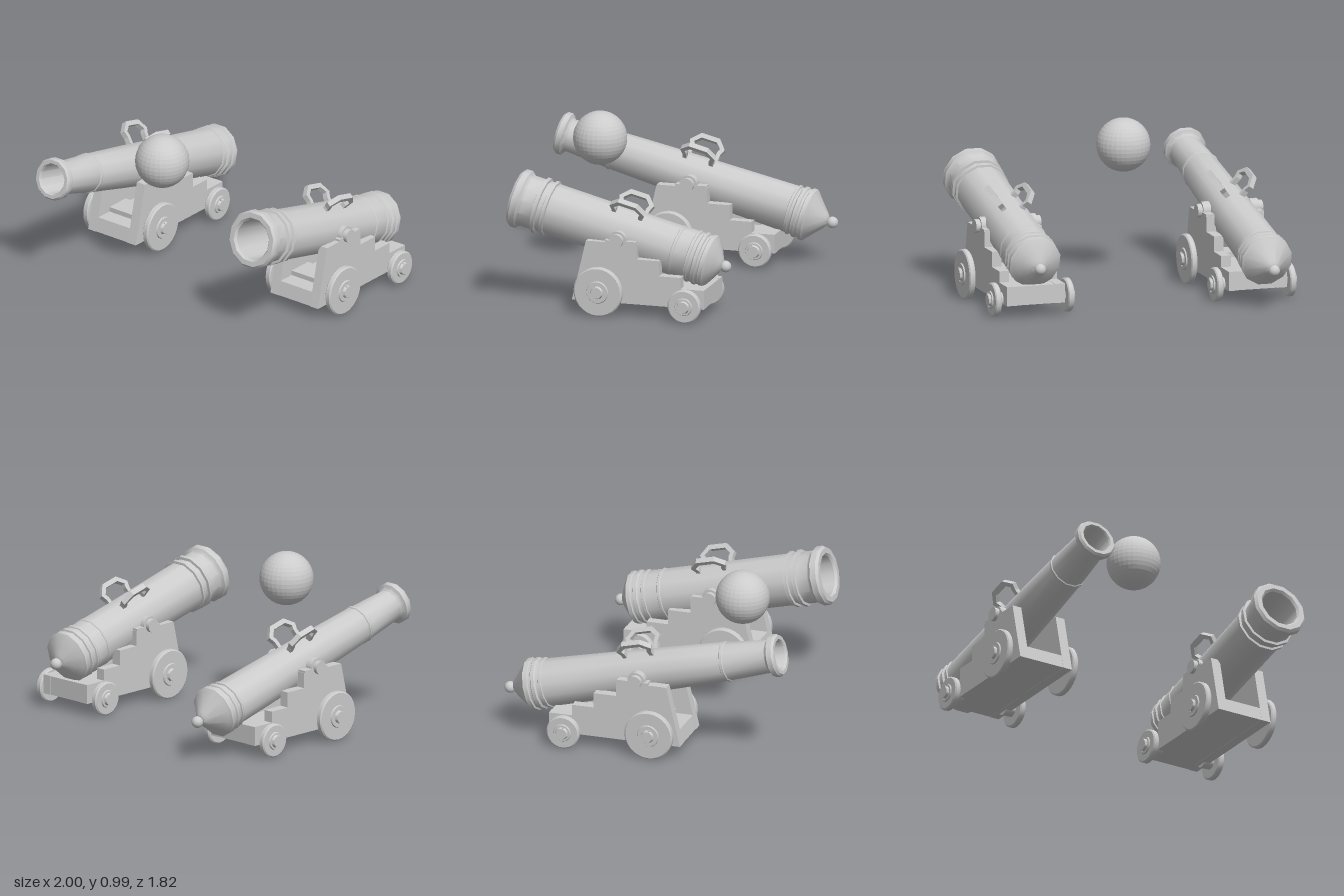
import * as THREE from 'three';
import { toCreasedNormals } from 'three/addons/utils/BufferGeometryUtils.js';

const material = new THREE.MeshStandardMaterial({ color: 0xcccccc });
const flatMaterial = new THREE.MeshStandardMaterial({ color: 0xcccccc, flatShading: true });
const AXIS_Y = 0.475;
const TILT = THREE.MathUtils.degToRad(14);

function add(parent, name, geometry, x = 0, y = 0, z = 0, mat = material) {
  const mesh = new THREE.Mesh(geometry, mat);
  mesh.name = name;
  mesh.position.set(x, y, z);
  parent.add(mesh);
  return mesh;
}

// Turned part from [radius, height] pairs, with hard profile edges
function turned(profile, sides, phase = 0) {
  const points = profile.map(([r, h]) => new THREE.Vector2(r, h));
  return toCreasedNormals(new THREE.LatheGeometry(points, sides, phase), 0.6);
}

function polygon(points) {
  return new THREE.Shape(points.map(([x, y]) => new THREE.Vector2(x, y)));
}

// Side outline given as [z, y], given a thickness along x and centred there
function sidePanel(points, thickness) {
  const g = new THREE.ExtrudeGeometry(polygon(points.map(([z, y]) => [-z, y])), { depth: thickness, bevelEnabled: false });
  return g.translate(0, 0, -thickness / 2).rotateY(Math.PI / 2);
}

// Raised band around the barrel
const band = (s, width, r, inner) => [[inner, s - width / 2], [r, s - width / 2 + 0.004], [r, s + width / 2 - 0.004], [inner, s + width / 2]];

const longProfile = [
  [0, -0.872], [0.03, -0.87], [0.05, -0.855], [0.148, -0.765], [0.165, -0.752],
  [0.165, -0.725], [0.155, -0.72], [0.155, -0.705], [0.162, -0.70], [0.162, -0.68], [0.15, -0.672],
  ...band(-0.645, 0.022, 0.157, 0.149),
  [0.14, -0.2], [0.131, 0.2], [0.121, 0.53],
  ...band(0.55, 0.024, 0.125, 0.119),
  [0.102, 0.835], [0.112, 0.85], [0.133, 0.86], [0.133, 0.893], [0.122, 0.907],
  [0.1, 0.907], [0.092, 0.895], [0.088, 0.3], [0, 0.3],
];

const shortProfile = [
  [0, -0.642], [0.03, -0.641], [0.05, -0.63], [0.1, -0.604], [0.15, -0.572], [0.166, -0.56],
  [0.166, -0.535], [0.158, -0.53], [0.158, -0.515], [0.168, -0.51], [0.168, -0.49], [0.159, -0.483],
  ...band(-0.45, 0.024, 0.165, 0.158),
  ...band(-0.345, 0.022, 0.162, 0.157),
  [0.157, 0], [0.16, 0.485],
  ...band(0.503, 0.028, 0.174, 0.16),
  ...band(0.56, 0.03, 0.177, 0.161),
  [0.161, 0.65], [0.17, 0.665], [0.184, 0.675], [0.184, 0.713], [0.17, 0.73],
  [0.138, 0.73], [0.125, 0.715], [0.12, 0.15], [0, 0.15],
];

function makeBarrel(profile, knobAt) {
  const barrel = new THREE.Group();
  barrel.name = 'barrel';
  add(barrel, 'tube', turned(profile, 12, Math.PI / 12).rotateX(Math.PI / 2));
  add(barrel, 'rearKnob', new THREE.SphereGeometry(0.036, 20, 14), 0, 0, knobAt);

  // Pair of lifting handles leaning outwards
  const arch = [
    [-0.1, -0.02], [-0.075, -0.02], [-0.075, 0.035], [-0.085, 0.06], [-0.05, 0.095],
    [0.05, 0.095], [0.085, 0.06], [0.075, 0.035], [0.075, -0.02], [0.1, -0.02],
    [0.1, 0.025], [0.115, 0.065], [0.06, 0.125], [-0.06, 0.125], [-0.115, 0.065], [-0.1, 0.025],
  ];
  for (const side of [-1, 1]) {
    const handle = add(barrel, 'liftingHandle', sidePanel(arch, 0.034), side * 0.055, 0.135, 0.005);
    handle.rotation.z = -side * 0.66;
  }
  barrel.position.y = AXIS_Y;
  barrel.rotation.x = -TILT;
  return barrel;
}

// Wheel with hub and axle stub, built along +x
function makeWheel(r, hub) {
  return turned([
    [0, 0.15], [0.045, 0.15], [0.042, 0.216], [r - 0.008, 0.216], [r, 0.223], [r, 0.249],
    [r - 0.008, 0.256], [hub, 0.256], [hub - 0.004, 0.264], [0.04, 0.264], [0.034, 0.28], [0, 0.28],
  ], 28).rotateZ(-Math.PI / 2);
}

function makeCarriage() {
  const carriage = new THREE.Group();
  carriage.name = 'carriage';

  // Stepped cheeks
  const cheek = [
    [0.29, 0.08], [0.2, 0.46], [-0.125, 0.46], [-0.125, 0.365], [-0.27, 0.365], [-0.27, 0.27],
    [-0.41, 0.27], [-0.41, 0.2], [-0.56, 0.2], [-0.56, 0.08],
  ];
  for (const side of [-1, 1]) {
    add(carriage, 'cheek', sidePanel(cheek, 0.063), side * 0.156);
    add(carriage, 'trunnionPlate', new THREE.BoxGeometry(0.063, 0.014, 0.2), side * 0.156, 0.466, -0.02);
    add(carriage, 'trunnionStrap', new THREE.CylinderGeometry(0.055, 0.055, 0.05, 20).rotateZ(Math.PI / 2), side * 0.156, AXIS_Y, 0);
    add(carriage, 'trunnion', new THREE.CylinderGeometry(0.042, 0.042, 0.11, 20).rotateZ(Math.PI / 2), side * 0.156, AXIS_Y, 0);
  }

  // Floor and cross pieces
  add(carriage, 'floor', sidePanel([[0.288, 0.081], [0.268, 0.17], [-0.558, 0.17], [-0.558, 0.081]], 0.26));
  add(carriage, 'frontCrossPiece', new THREE.BoxGeometry(0.26, 0.04, 0.16), 0, 0.18, 0.08);
  add(carriage, 'rearCrossPiece', new THREE.BoxGeometry(0.26, 0.1, 0.15), 0, 0.149, -0.484);

  // Large front wheels and small rear wheels
  for (const [name, r, hub, z] of [['frontWheel', 0.155, 0.07, 0.105], ['rearWheel', 0.105, 0.056, -0.45]]) {
    for (const side of [-1, 1]) {
      const wheel = add(carriage, name, makeWheel(r, hub), 0, r, z);
      if (side < 0) wheel.rotation.y = Math.PI;
      const pin = add(carriage, 'axlePin', new THREE.CylinderGeometry(0.005, 0.005, 0.09, 8), side * 0.272, r, z);
      pin.rotation.x = 0.25;
    }
  }
  return carriage;
}

export function createModel() {
  const model = new THREE.Group();
  model.name = 'cannonSet';
  const cannons = [
    ['longCannon', longProfile, -0.9, -0.72],
    ['shortCannon', shortProfile, -0.66, 0.718],
  ];
  for (const [name, profile, knobAt, x] of cannons) {
    const cannon = new THREE.Group();
    cannon.name = name;
    cannon.position.x = x;
    cannon.add(makeBarrel(profile, knobAt), makeCarriage());
    model.add(cannon);
  }
  add(model, 'cannonBall', new THREE.SphereGeometry(0.167, 32, 20), -0.19, 0.822, 0.455, flatMaterial);
  return model;
}
